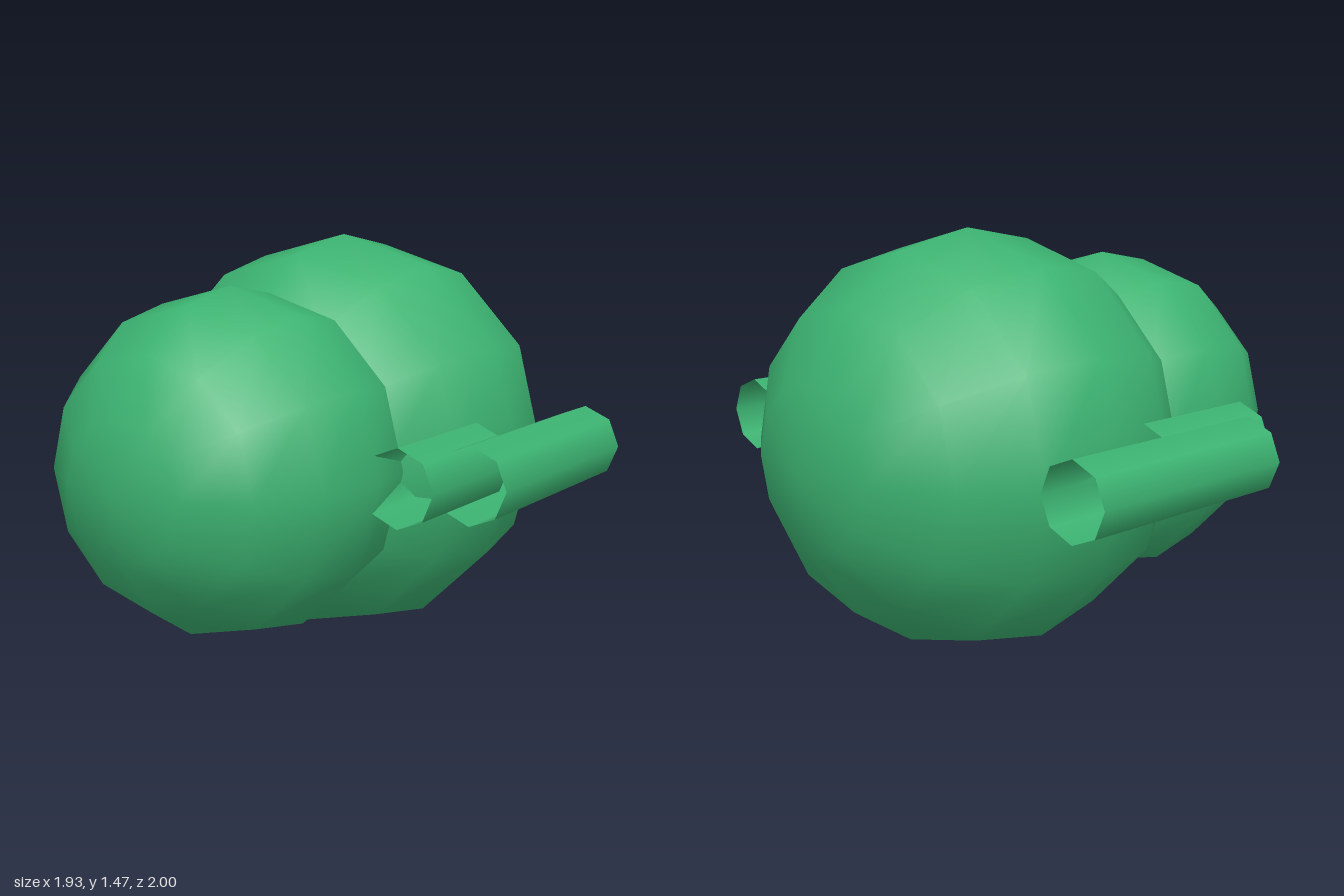
import * as THREE from 'three';

const MID = 0.733; // every part is centred on this height

export function createModel() {
  const group = new THREE.Group();
  const green = new THREE.MeshStandardMaterial({ color: 0x3cb371 });
  const greenOpen = new THREE.MeshStandardMaterial({ color: 0x3cb371, side: THREE.DoubleSide });

  // Every part has its axis along z
  function add(name, geometry, material, x, z) {
    geometry.rotateX(Math.PI / 2);
    const mesh = new THREE.Mesh(geometry, material);
    mesh.name = name;
    mesh.position.set(x, MID, z);
    group.add(mesh);
  }

  // Overlapping body spheres, poles facing front and back
  add('rearBody', new THREE.SphereGeometry(0.733, 12, 8), green, 0, -0.267);
  add('frontBody', new THREE.SphereGeometry(0.6, 12, 8), green, 0, 0.4);

  // Open tubes on both sides: a short inner one and a long outer one
  const tube = (length) => new THREE.CylinderGeometry(0.133, 0.133, length, 8, 1, true);
  for (const [side, s] of [['left', 1], ['right', -1]]) {
    add(side + 'InnerTube', tube(0.5), greenOpen, s * 0.667, 0.15);
    add(side + 'OuterTube', tube(0.833), greenOpen, s * 0.833, -0.183);
  }
  return group;
}
